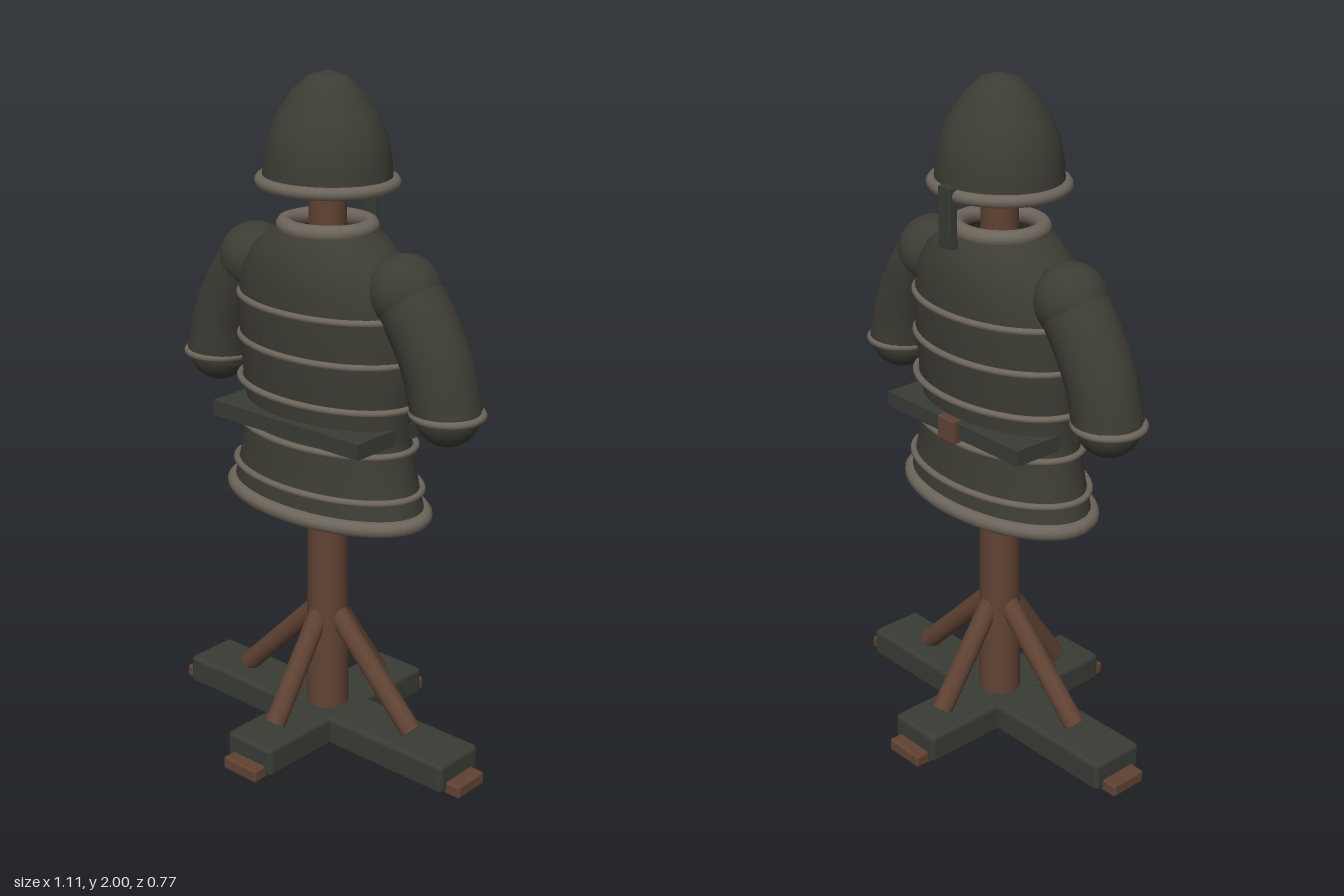
import * as THREE from 'three';
import { mergeVertices } from 'three/addons/utils/BufferGeometryUtils.js';
import { RoundedBoxGeometry } from 'three/addons/geometries/RoundedBoxGeometry.js';

const material = (name, color, side = THREE.FrontSide) => {
  const m = new THREE.MeshStandardMaterial({ color, side });
  m.name = name;
  return m;
};

// Closed elliptical path lying flat
class Ellipse extends THREE.Curve {
  constructor(rx, rz) { super(); this.rx = rx; this.rz = rz; }
  getPoint(t, target = new THREE.Vector3()) {
    const a = t * Math.PI * 2;
    return target.set(this.rx * Math.cos(a), 0, this.rz * Math.sin(a));
  }
}

// Smooth open shell from elliptical sections [y, half width, half depth]
function shell(sections) {
  const n = sections.length;
  const geo = new THREE.LatheGeometry(sections.map(([y, r]) => new THREE.Vector2(r, y)), 48);
  const p = geo.attributes.position;
  for (let i = 0; i < p.count; i++) {
    const [, rx, rz] = sections[i % n];
    p.setZ(i, rx > 0 ? p.getZ(i) * rz / rx : 0);
  }
  geo.deleteAttribute('uv');
  geo.deleteAttribute('normal');
  const merged = mergeVertices(geo, 1e-5);
  merged.computeVertexNormals();
  return merged;
}

export function createModel() {
  const cloth = material('dark cloth', 0x3d3c34, THREE.DoubleSide);
  const green = material('dark green', 0x383c34);
  const trim = material('grey trim', 0x6d655a);
  const wood = material('brown wood', 0x5f4233);

  const model = new THREE.Group();
  model.name = 'armourStand';

  const add = (name, geo, mat, x = 0, y = 0, z = 0) => {
    const mesh = new THREE.Mesh(geo, mat);
    mesh.name = name;
    mesh.position.set(x, y, z);
    model.add(mesh);
    return mesh;
  };
  const block = (name, mat, w, h, d, x, y, z, r = 0.008) =>
    add(name, new RoundedBoxGeometry(w, h, d, 3, r), mat, x, y, z);
  // Ring given by its outer half sizes
  const ring = (name, y, rx, rz, tube, x = 0) =>
    add(name, new THREE.TubeGeometry(new Ellipse(rx - tube, rz - tube), 64, tube, 10, true), trim, x, y, 0);
  // Rod between two points
  const rod = (name, a, b, r) => {
    const from = new THREE.Vector3(...a), to = new THREE.Vector3(...b);
    const dir = to.clone().sub(from);
    const mesh = add(name, new THREE.CylinderGeometry(r, r, dir.length(), 16), wood);
    mesh.position.copy(from).add(to).multiplyScalar(0.5);
    mesh.quaternion.setFromUnitVectors(new THREE.Vector3(0, 1, 0), dir.normalize());
  };

  // Crossed base beams
  block('sideBeam', green, 1.02, 0.093, 0.175, 0, 0.053, 0, 0.015);
  block('frontBeam', green, 0.175, 0.093, 0.69, 0, 0.053, 0, 0.015);

  // Feet and diagonal braces
  for (const s of [1, -1]) {
    block('sideFoot', wood, 0.1, 0.04, 0.12, s * 0.505, 0.02, 0);
    block('endFoot', wood, 0.13, 0.04, 0.1, 0, 0.02, s * 0.336);
    rod('sideBrace', [s * 0.03, 0.41, 0], [s * 0.33, 0.11, 0], 0.031);
    rod('endBrace', [0, 0.41, s * 0.03], [0, 0.11, s * 0.232], 0.031);
  }

  // Post and hidden shoulder bar
  add('post', new THREE.CylinderGeometry(0.052, 0.064, 1.73, 20), wood, 0, 0.915, 0);
  rod('shoulderBar', [-0.352, 1.465, 0], [0.352, 1.465, 0], 0.038);

  // Padded coat
  add('coat', shell([
    [0.77, 0.335, 0.187], [0.85, 0.312, 0.177], [0.97, 0.287, 0.162], [1.03, 0.279, 0.16],
    [1.1, 0.29, 0.17], [1.24, 0.3, 0.18], [1.36, 0.298, 0.184], [1.44, 0.28, 0.182],
    [1.5, 0.24, 0.171], [1.55, 0.178, 0.148], [1.575, 0.13, 0.125],
  ]), cloth);

  // Coat seams, hem and collar
  for (const [y, rx, rz] of [
    [1.36, 0.303, 0.198], [1.235, 0.306, 0.194], [1.105, 0.312, 0.19],
    [0.975, 0.308, 0.181], [0.845, 0.331, 0.194],
  ]) ring('coatSeam', y, rx, rz, 0.01);
  ring('hem', 0.77, 0.355, 0.207, 0.023);
  ring('collar', 1.577, 0.148, 0.14, 0.024);

  // Belt slab and its rear buckle
  add('belt', new THREE.BoxGeometry(0.554, 0.046, 0.374), green, 0, 1.023, 0);
  block('buckle', wood, 0.07, 0.07, 0.03, 0, 1.022, -0.19, 0.004);

  // Sleeves
  for (const s of [1, -1]) {
    const path = new THREE.CatmullRomCurve3([
      [0.28, 1.435], [0.345, 1.35], [0.402, 1.24], [0.433, 1.12],
    ].map(([x, y]) => new THREE.Vector3(s * x, y, 0)));
    add('sleeve', new THREE.TubeGeometry(path, 16, 0.099, 24), cloth);
    add('shoulder', new THREE.SphereGeometry(0.105, 28, 18), cloth, s * 0.28, 1.435, 0);
    add('sleeveEnd', new THREE.SphereGeometry(0.092, 28, 18), cloth, s * 0.435, 1.125, 0);
    ring('cuff', 1.123, 0.108, 0.106, 0.011, s * 0.435);
  }

  // Open helmet with rim and hanging strap
  add('helmet', shell([
    [1.7, 0.186], [1.76, 0.182], [1.82, 0.171], [1.88, 0.145],
    [1.945, 0.1], [1.985, 0.055], [2.0, 0],
  ].map(([y, r]) => [y, r, r * 0.94])), cloth);
  ring('helmetRim', 1.7, 0.209, 0.194, 0.018);
  block('strap', green, 0.05, 0.17, 0.026, 0, 1.64, -0.187, 0.003);

  return model;
}
